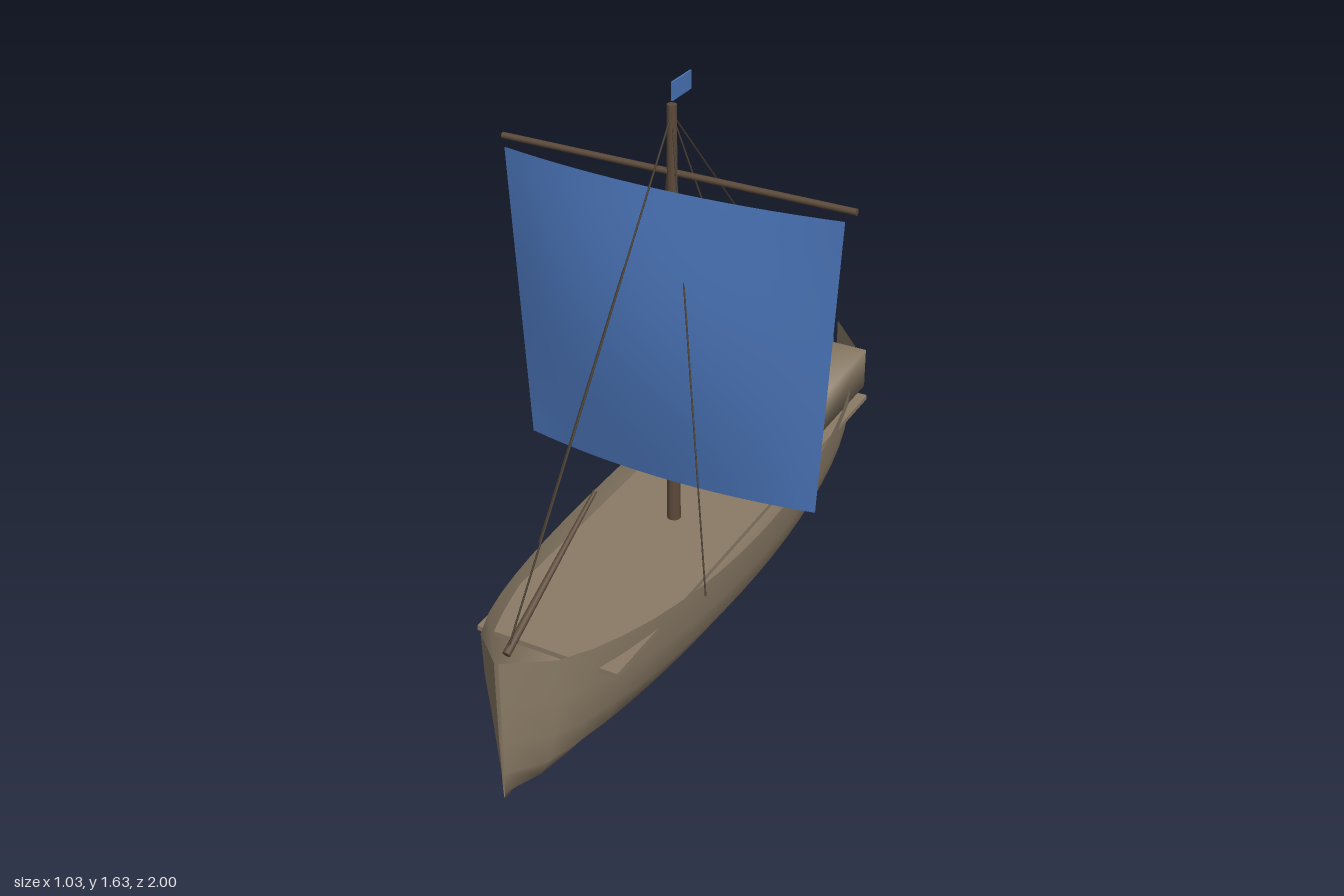
import * as THREE from 'three';
import { mergeVertices } from 'three/addons/utils/BufferGeometryUtils.js';

const V = (x, y, z) => new THREE.Vector3(x, y, z);

// Grid surface whose vertices are placed by rule(u, v), with u and v in -1..1
function surface(nu, nv, rule) {
  const geo = new THREE.PlaneGeometry(2, 2, nu, nv);
  const p = geo.attributes.position;
  for (let i = 0; i < p.count; i++) p.setXYZ(i, ...rule(p.getX(i), p.getY(i)));
  geo.computeVertexNormals();
  return geo;
}

export function createModel() {
  const model = new THREE.Group();
  model.name = 'sailingBoat';

  const material = (name, color, side = THREE.FrontSide) => {
    const m = new THREE.MeshStandardMaterial({ color, side });
    m.name = name;
    return m;
  };
  const planking = material('planking', 0x8a7b66, THREE.DoubleSide);
  const spar = material('spar', 0x5c4a3a);
  const rope = material('rope', 0x4a4034);
  const cloth = material('cloth', 0x4a74b8, THREE.DoubleSide);

  const add = (name, geo, mat, pos = [0, 0, 0]) => {
    const mesh = new THREE.Mesh(geo, mat);
    mesh.name = name;
    mesh.position.set(...pos);
    model.add(mesh);
    return mesh;
  };
  // Round pole between two points, optionally tapered
  const pole = (name, a, b, ra, rb, mat, sides = 10) => {
    const dir = b.clone().sub(a);
    const mesh = add(name, new THREE.CylinderGeometry(rb, ra, dir.length(), sides), mat);
    mesh.position.copy(a).add(b).multiplyScalar(0.5);
    mesh.quaternion.setFromUnitVectors(V(0, 1, 0), dir.normalize());
  };

  // Open hull: rounded sections, elliptical plan, sheer rising to both ends
  add('hull', surface(10, 20, (u, z) => {
    const a = u * Math.PI / 2;
    const half = 0.26 * Math.max(Math.sqrt(Math.max(0, 1 - z * z)), 0.025);
    const rail = 0.335 + 0.1 * z * z;
    return [half * Math.sign(u) * Math.abs(Math.sin(a)) ** 0.8, rail * (1 - Math.cos(a)), z];
  }), planking);

  add('deck', new THREE.BoxGeometry(0.42, 0.015, 1.56), planking, [0, 0.317, 0]);

  // Stern cabin with softly shaded corners
  const box = new THREE.BoxGeometry(0.366, 0.13, 0.32);
  box.deleteAttribute('normal');
  box.deleteAttribute('uv');
  const cabin = mergeVertices(box);
  cabin.computeVertexNormals();
  add('sternCabin', cabin, planking, [0, 0.395, -0.66]);

  // Spars
  pole('mast', V(0, 0.32, 0.1), V(0, 1.57, 0.1), 0.02, 0.013, spar);
  pole('yard', V(-0.515, 1.385, 0.1), V(0.515, 1.385, 0.1), 0.009, 0.009, spar);
  pole('bowsprit', V(0, 0.43, 0.955), V(0, 0.655, 0.52), 0.011, 0.006, spar);

  // Square sail bellying forward, narrower at the foot
  add('sail', surface(16, 16, (u, v) => [
    u * (0.47 + 0.025 * v),
    0.93 + 0.435 * v,
    0.125 + (1 - u * u) * (0.045 + 0.05 * Math.cos(v * Math.PI / 2)),
  ]), cloth);

  add('pennant', new THREE.BoxGeometry(0.005, 0.05, 0.1), cloth, [0, 1.603, 0.05]);

  // Standing rigging
  const head = V(0, 1.545, 0.1);
  const line = (name, end) => pole(name, head, end, 0.0025, 0.0025, rope, 6);
  line('forestay', V(0, 0.435, 0.95));
  line('backstay', V(0, 0.435, -0.9));
  for (const side of [1, -1]) {
    const label = side > 0 ? 'left' : 'right';
    line(label + 'ForeShroud', V(side * 0.26, 0.335, 0.4));
    line(label + 'AftShroud', V(side * 0.26, 0.335, -0.2));
  }

  return model;
}
